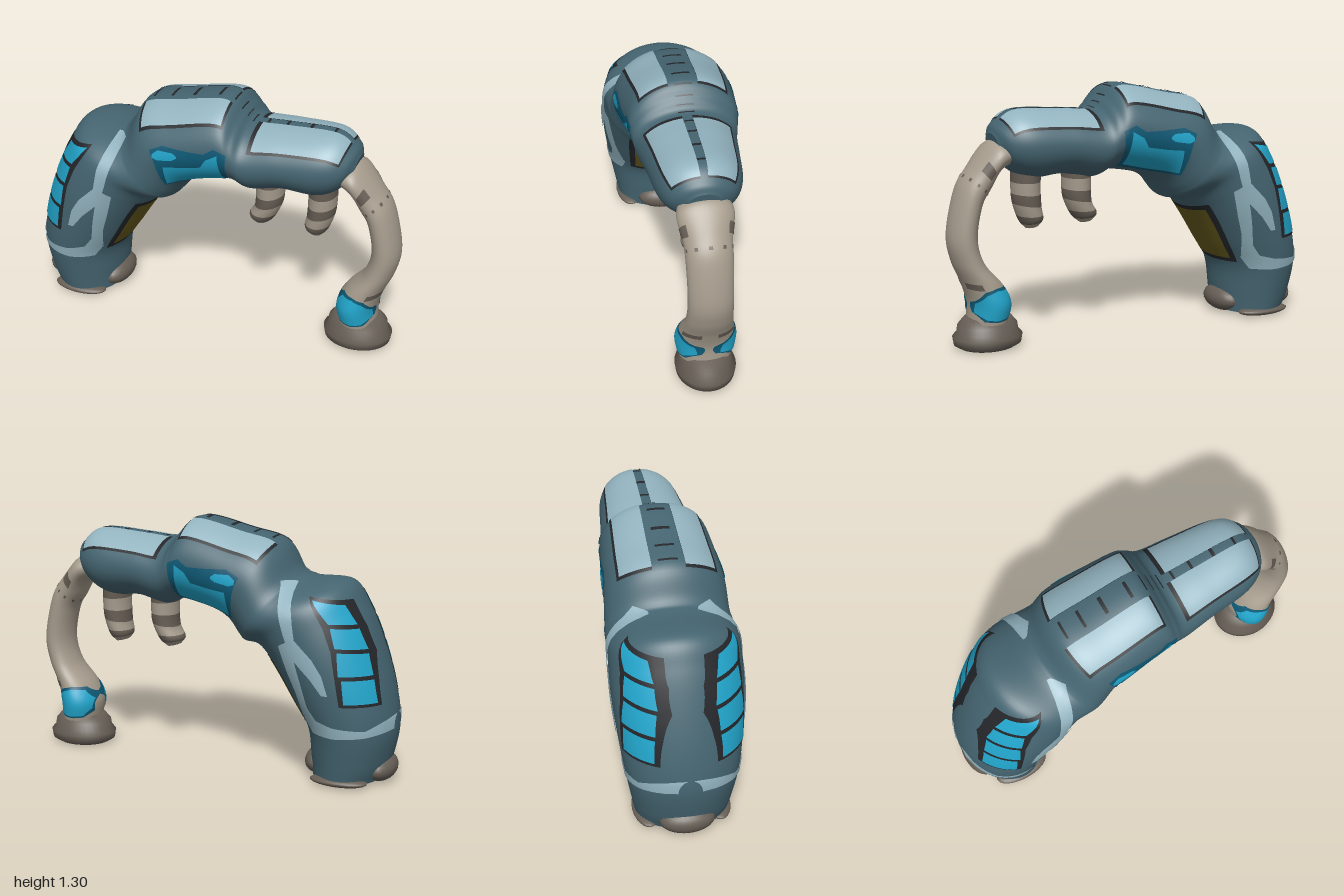
import * as THREE from 'three';

const mat = (name, color, side = THREE.FrontSide) => {
  const m = new THREE.MeshStandardMaterial({ color, side });
  m.name = name;
  return m;
};
const D = THREE.DoubleSide;
const M = {
  teal: mat('slate teal', 0x456571),
  pale: mat('pale blue', 0x93b4c0, D),
  blue: mat('bright blue', 0x22a6cc, D),
  navy: mat('deep blue', 0x0f5a76, D),
  black: mat('black', 0x24262a, D),
  bone: mat('bone', 0xa69c8d, D),
  taupe: mat('taupe', 0x665e55, D),
  olive: mat('olive', 0x685c1e, D),
};

// A limb is a row of sections: outer edge x,y, inner edge x,y, half width in z
class Limb {
  constructor(sections) {
    const curve = (f) => new THREE.CatmullRomCurve3(sections.map(f), false, 'catmullrom', 0.5);
    this.outer = curve(([x, y, , , w]) => new THREE.Vector3(x, y, w));
    this.inner = curve(([, , x, y]) => new THREE.Vector3(x, y, 0));
    this.last = sections.length - 1;
  }
  // Point on the limb: angle 0 is the outer edge, PI/2 the +z side
  point(t, angle, k = 1) {
    const o = this.outer.getPoint(t), i = this.inner.getPoint(t), c = Math.cos(angle) * k;
    return [(o.x + i.x + c * (o.x - i.x)) / 2, (o.y + i.y + c * (o.y - i.y)) / 2, o.z * Math.sin(angle) * k];
  }
  // Side-view position to (t, angle)
  locate(x, y) {
    const probe = (t) => {
      const o = this.outer.getPoint(t), i = this.inner.getPoint(t);
      const dx = i.x - o.x, dy = i.y - o.y, px = x - o.x, py = y - o.y;
      return { f: dx * py - dy * px, c: 1 - 2 * (px * dx + py * dy) / (dx * dx + dy * dy) };
    };
    const n = 120;
    let best = { t: 0.5, c: 0, miss: Infinity }, a = probe(0);
    for (let s = 1; s <= n; s++) {
      const b = probe(s / n);
      if (a.f * b.f <= 0 && a.f !== b.f) {
        const r = a.f / (a.f - b.f), c = a.c + (b.c - a.c) * r;
        if (Math.abs(c) < best.miss) best = { t: (s - 1 + r) / n, c, miss: Math.abs(c) };
      }
      a = b;
    }
    return [best.t, Math.acos(THREE.MathUtils.clamp(best.c, -1, 1))];
  }
}

function gridGeometry(rows, wrap) {
  const w = rows[0].length, pos = rows.flat(2), index = [];
  for (let i = 0; i < rows.length - 1; i++)
    for (let j = 0; j < (wrap ? w : w - 1); j++) {
      const a = i * w + j, b = i * w + (j + 1) % w;
      index.push(a, b, b + w, a, b + w, a + w);
    }
  const g = new THREE.BufferGeometry();
  g.setAttribute('position', new THREE.Float32BufferAttribute(pos, 3));
  g.setIndex(index);
  g.computeVertexNormals();
  return g;
}

function add(parent, name, geometry, material) {
  const mesh = new THREE.Mesh(geometry, material);
  mesh.name = name;
  parent.add(mesh);
  return mesh;
}

// Closed skin over a limb, or over a stretch of it
function skin(parent, name, limb, material, steps, sides, t0 = 0, t1 = 1) {
  const ring = (t, k) => Array.from({ length: sides }, (_, j) => limb.point(t, j / sides * Math.PI * 2, k));
  const rows = [ring(t0, 0), ring(t0, 1)];
  for (let s = 0; s <= steps; s++) rows.push(ring(t0 + (t1 - t0) * s / steps, 1));
  rows.push(ring(t1, 1), ring(t1, 0));
  return add(parent, name, gridGeometry(rows, true), material);
}

// Painted plate over a limb; at(u, v) returns (t, angle)
function plate(parent, name, limb, material, k, at, sides = [1, -1], nu = 20, nv = 10) {
  for (const s of sides) {
    const rows = [];
    for (let i = 0; i <= nu; i++) {
      const row = [];
      for (let j = 0; j <= nv; j++) {
        const [t, a] = at(i / nu, j / nv);
        row.push(limb.point(t, a * s, k));
      }
      rows.push(row);
    }
    add(parent, name, gridGeometry(rows, false), material);
  }
}

const along = (pts, u) => {
  const f = u * (pts.length - 1), i = Math.min(Math.floor(f), pts.length - 2), r = f - i;
  return pts[i].map((p, n) => p + (pts[i + 1][n] - p) * r);
};
// Plate between two side-view edges
const sidePlate = (parent, name, limb, material, k, A, B) =>
  plate(parent, name, limb, material, k, (u, v) => {
    const a = along(A, u), b = along(B, u);
    return limb.locate(a[0] + (b[0] - a[0]) * v, a[1] + (b[1] - a[1]) * v);
  });
// Plate between two sections and two angles
const wrapPlate = (parent, name, limb, material, k, s0, s1, a0, a1, sides) =>
  plate(parent, name, limb, material, k, (u, v) =>
    [(s0 + (s1 - s0) * u) / limb.last, a0 + (a1 - a0) * v], sides);

function blob(parent, name, material, pos, scale) {
  const m = add(parent, name, new THREE.SphereGeometry(1, 24, 16), material);
  m.position.set(...pos);
  m.scale.set(...scale);
}

export function createModel() {
  const root = new THREE.Group();
  root.name = 'archedCreature';

  // Arched body
  const body = new Limb([
    [-0.93, 0.02, -0.57, 0.02, 0.235], [-0.97, 0.12, -0.56, 0.13, 0.255], [-1, 0.3, -0.54, 0.28, 0.285],
    [-0.97, 0.5, -0.46, 0.42, 0.31], [-0.9, 0.72, -0.38, 0.55, 0.328], [-0.82, 0.9, -0.32, 0.63, 0.33],
    [-0.73, 1.02, -0.27, 0.67, 0.327], [-0.53, 1.03, -0.21, 0.68, 0.322], [-0.46, 1.06, -0.18, 0.71, 0.315],
    [-0.37, 1.2, -0.12, 0.78, 0.307], [-0.18, 1.25, -0.03, 0.83, 0.298], [0.07, 1.3, 0.12, 0.86, 0.28],
    [0.16, 1.23, 0.17, 0.86, 0.27], [0.22, 1.18, 0.25, 0.83, 0.255], [0.4, 1.19, 0.4, 0.86, 0.235],
    [0.64, 1.2, 0.56, 0.85, 0.21], [0.74, 1.14, 0.66, 0.89, 0.16], [0.765, 1.09, 0.74, 0.97, 0.08],
  ]);
  skin(root, 'body', body, M.teal, 136, 64);

  // Pale back plates with dark rims, and slots along the ridge
  wrapPlate(root, 'backPlateRim', body, M.black, 1.01, 8.95, 11.3, 0.27, 0.94);
  wrapPlate(root, 'backPlate', body, M.pale, 1.02, 9.05, 11.2, 0.27, 0.87);
  wrapPlate(root, 'headPlateRim', body, M.black, 1.01, 13.1, 15.75, 0.1, 1.05);
  wrapPlate(root, 'headPlate', body, M.pale, 1.02, 13.25, 15.65, 0.1, 0.97);
  for (let i = 0; i < 12; i++) {
    const s = 9.2 + i * 0.52;
    wrapPlate(root, 'ridgeSlot', body, M.black, 1.015, s, s + 0.07, -0.16, 0.16, [1]);
  }

  // Blue shoulder panels in a dark frame
  sidePlate(root, 'panelFrame', body, M.black, 1.01,
    [[-0.78, 0.95], [-0.85, 0.82], [-0.9, 0.7], [-0.93, 0.57], [-0.955, 0.44]],
    [[-0.6, 0.975], [-0.69, 0.83], [-0.735, 0.72], [-0.76, 0.59], [-0.785, 0.445]]);
  [
    [[-0.76, 0.93], [-0.62, 0.96], [-0.82, 0.835], [-0.71, 0.85]],
    [[-0.83, 0.815], [-0.72, 0.83], [-0.875, 0.715], [-0.75, 0.735]],
    [[-0.88, 0.695], [-0.76, 0.715], [-0.91, 0.59], [-0.775, 0.6]],
    [[-0.915, 0.57], [-0.79, 0.58], [-0.94, 0.455], [-0.805, 0.46]],
  ].forEach(([a, b, c, d]) => sidePlate(root, 'shoulderPanel', body, M.blue, 1.02, [a, b], [c, d]));

  // Pale hip band and forked flank stripe
  sidePlate(root, 'hipBand', body, M.pale, 1.02,
    [[-0.995, 0.37], [-0.9, 0.32], [-0.75, 0.335], [-0.66, 0.36], [-0.61, 0.43]],
    [[-0.995, 0.3], [-0.9, 0.285], [-0.75, 0.275], [-0.63, 0.28], [-0.58, 0.35]]);
  sidePlate(root, 'flankStripe', body, M.pale, 1.02,
    [[-0.5, 1.02], [-0.54, 0.88], [-0.56, 0.77], [-0.65, 0.68], [-0.7, 0.6], [-0.73, 0.5]],
    [[-0.43, 1.03], [-0.46, 0.92], [-0.5, 0.79], [-0.54, 0.68], [-0.64, 0.58], [-0.7, 0.5]]);
  sidePlate(root, 'flankFork', body, M.pale, 1.021,
    [[-0.54, 0.77], [-0.56, 0.66], [-0.59, 0.54], [-0.62, 0.4]],
    [[-0.47, 0.73], [-0.51, 0.6], [-0.55, 0.49], [-0.58, 0.36]]);

  // Blue chest marking on deep blue
  sidePlate(root, 'chestMarkRim', body, M.navy, 1.01,
    [[-0.25, 1.05], [-0.18, 1.085], [-0.05, 1.08], [0.04, 1.08], [0.09, 1.115], [0.155, 1.09]],
    [[-0.22, 0.99], [-0.19, 0.83], [-0.11, 0.845], [-0.02, 0.86], [0.06, 0.88], [0.14, 0.895]]);
  sidePlate(root, 'chestMark', body, M.blue, 1.02,
    [[-0.175, 0.97], [-0.09, 0.98], [0.02, 1.0], [0.05, 1.05], [0.11, 1.085]],
    [[-0.18, 0.845], [-0.11, 0.86], [-0.02, 0.875], [0.06, 0.895], [0.12, 0.91]]);
  sidePlate(root, 'chestSpot', body, M.blue, 1.02,
    [[-0.23, 1.035], [-0.2, 1.06], [-0.12, 1.06], [-0.1, 1.045]],
    [[-0.23, 1.015], [-0.2, 1.005], [-0.12, 1.02], [-0.1, 1.035]]);

  // Olive belly plate
  wrapPlate(root, 'bellyRim', body, M.black, 1.01, 2.2, 4.9, Math.PI - 0.68, Math.PI + 0.68, [1]);
  wrapPlate(root, 'bellyPlate', body, M.olive, 1.02, 2.35, 4.6, Math.PI - 0.56, Math.PI + 0.56, [1]);

  // Toes round the big foot
  blob(root, 'backToe', M.taupe, [-0.92, 0.075, 0], [0.08, 0.07, 0.14]);
  blob(root, 'innerToe', M.taupe, [-0.6, 0.075, 0], [0.08, 0.07, 0.14]);
  for (const s of [1, -1]) blob(root, 'sideToe', M.taupe, [-0.75, 0.026, s * 0.18], [0.15, 0.026, 0.07]);

  // Slender front limb
  const arm = new Limb([
    [0.7, 1.06, 0.66, 0.94, 0.12], [0.78, 1.04, 0.74, 0.9, 0.14], [0.88, 0.93, 0.78, 0.82, 0.12],
    [0.95, 0.82, 0.83, 0.73, 0.115], [1, 0.6, 0.855, 0.57, 0.112], [0.98, 0.46, 0.82, 0.44, 0.117],
    [0.93, 0.34, 0.73, 0.33, 0.135], [0.9, 0.24, 0.69, 0.24, 0.15], [0.9, 0.14, 0.7, 0.14, 0.135],
  ]);
  skin(root, 'frontLimb', arm, M.bone, 72, 40);
  wrapPlate(root, 'limbBand', arm, M.taupe, 1.02, 2.35, 2.5, -Math.PI, Math.PI, [1]);
  wrapPlate(root, 'limbPatch', arm, M.taupe, 1.02, 1.5, 1.9, 0.9, 1.8);
  wrapPlate(root, 'ankleBand', arm, M.taupe, 1.02, 5.85, 6.15, 0.3, 1.2);

  // Blue ankle guards
  sidePlate(root, 'ankleGuardRim', arm, M.navy, 1.02,
    [[0.695, 0.28], [0.74, 0.325], [0.8, 0.33], [0.86, 0.315], [0.9, 0.25]],
    [[0.7, 0.19], [0.74, 0.16], [0.8, 0.155], [0.86, 0.16], [0.895, 0.2]]);
  sidePlate(root, 'ankleGuard', arm, M.blue, 1.04,
    [[0.7, 0.26], [0.74, 0.31], [0.8, 0.318], [0.85, 0.3], [0.89, 0.25]],
    [[0.705, 0.21], [0.74, 0.17], [0.8, 0.165], [0.85, 0.17], [0.89, 0.2]]);

  // Small flared foot
  const profile = [[0, 0], [0.14, 0], [0.175, 0.02], [0.182, 0.06], [0.16, 0.085], [0.155, 0.12], [0.12, 0.16], [0, 0.17]];
  const foot = add(root, 'frontFoot', new THREE.LatheGeometry(profile.map(([r, y]) => new THREE.Vector2(r, y)), 36), M.taupe);
  foot.position.x = 0.8;
  foot.scale.z = 0.85;

  // Banded dangling fingers
  for (const [x, lean] of [[0.29, 0.045], [0.575, 0.025]]) {
    const finger = new Limb([
      [x + 0.075, 0.9, x - 0.075, 0.9, 0.1], [x + 0.075, 0.8, x - 0.07, 0.8, 0.095],
      [x + 0.068, 0.72, x - 0.075, 0.7, 0.09], [x + 0.05 - lean * 0.5, 0.63, x - 0.06 - lean, 0.64, 0.08],
      [x + 0.03 - lean, 0.59, x - 0.04 - lean, 0.605, 0.045],
    ]);
    for (let i = 0; i < 6; i++)
      skin(root, 'fingerSegment', finger, i % 2 ? M.bone : M.taupe, 8, 28, i / 6, (i + 1) / 6);
  }
  return root;
}
